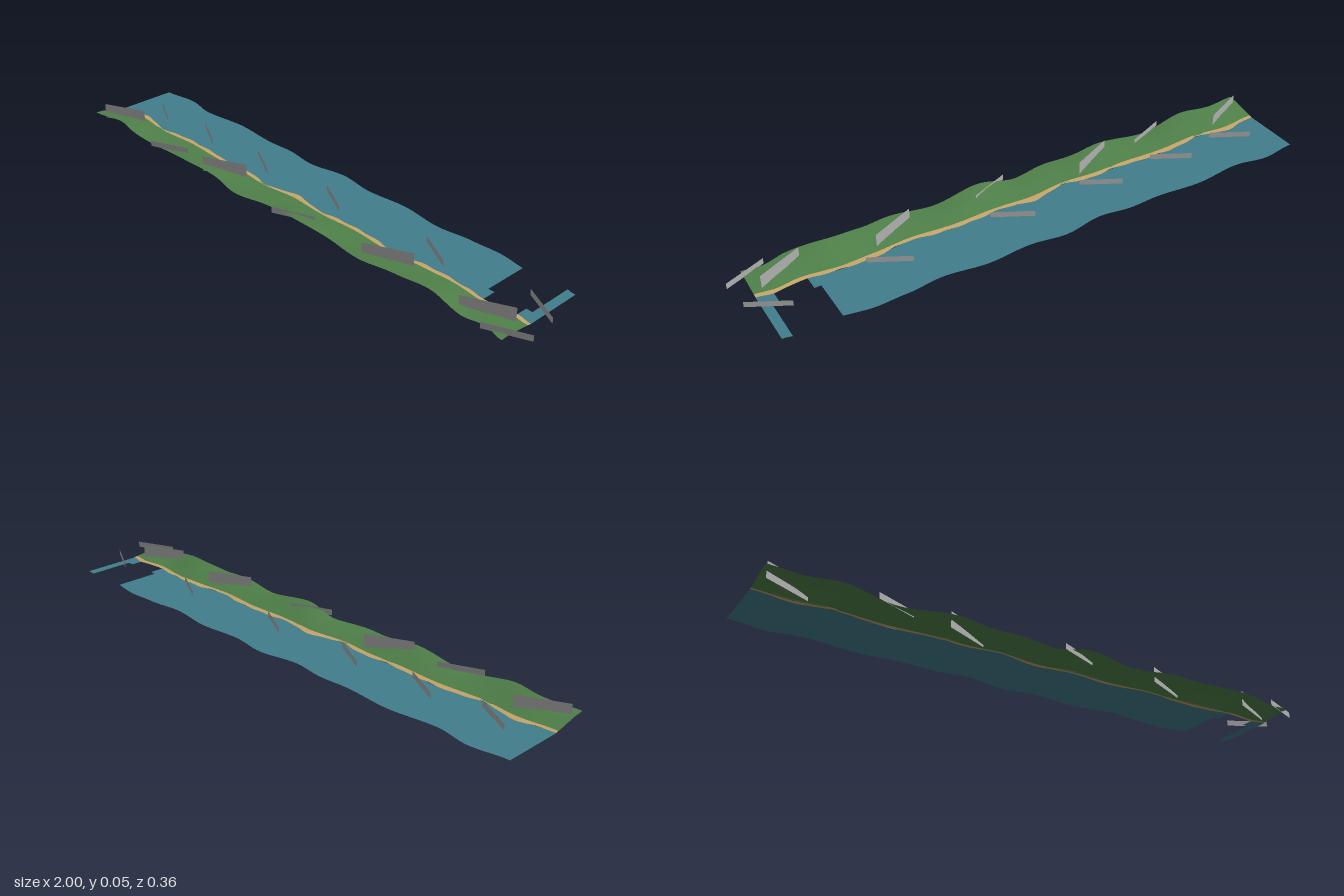
import * as THREE from 'three';

const flat = (name, color) => {
  const m = new THREE.MeshStandardMaterial({ color, side: THREE.DoubleSide });
  m.name = name;
  return m;
};

// Smooth interpolation through [x, value] pairs
function interpolator(points) {
  return (x) => {
    let i = 0;
    while (i < points.length - 2 && x > points[i + 1][0]) i++;
    const [x0, a] = points[i], [x1, b] = points[i + 1];
    const t = THREE.MathUtils.smoothstep(x, x0, x1);
    return a + (b - a) * t;
  };
}

// Sideways meander of the whole coast
const meander = interpolator([
  [-1, 0.007], [-0.87, -0.01], [-0.75, 0.009], [-0.57, -0.009], [-0.4, 0.003],
  [-0.3, -0.002], [-0.18, 0.012], [-0.03, -0.012], [0.1, 0.004], [0.25, -0.008],
  [0.41, 0.01], [0.54, -0.004], [0.64, -0.009], [0.79, 0.01], [0.87, -0.007], [0.935, 0.007],
]);

// Height of the outer land edge
const ridge = interpolator([
  [-1, 0.026], [-0.8, 0.034], [-0.6, 0.014], [-0.38, 0.03], [-0.2, 0.014], [-0.05, 0.016],
  [0.1, 0.034], [0.3, 0.017], [0.5, 0.028], [0.67, 0.037], [0.84, 0.02], [0.935, 0.014],
]);

// Small irregularity of the beach edge
const ripple = (x) => 0.003 * Math.sin(x * 31) + 0.002 * Math.sin(x * 67 + 1);

// Open sheet between x0 and x1; section(x) lists [z, y] from back to front
function ribbon(name, material, x0, x1, section) {
  const steps = Math.max(2, Math.ceil((x1 - x0) / 0.0125));
  const pos = [], index = [];
  let n = 0;
  for (let i = 0; i <= steps; i++) {
    const x = x0 + ((x1 - x0) * i) / steps;
    const row = section(x);
    n = row.length;
    for (const [z, y] of row) pos.push(x, y, z);
  }
  for (let i = 0; i < steps; i++) {
    for (let j = 0; j < n - 1; j++) {
      const a = i * n + j, b = a + n;
      index.push(a, a + 1, b, b, a + 1, b + 1);
    }
  }
  const g = new THREE.BufferGeometry();
  g.setAttribute('position', new THREE.Float32BufferAttribute(pos, 3));
  g.setIndex(index);
  g.computeVertexNormals();
  const mesh = new THREE.Mesh(g, material);
  mesh.name = name;
  return mesh;
}

export function createModel() {
  const group = new THREE.Group();
  group.name = 'coastStrip';
  const water = flat('water', 0x417d8c);
  const sand = flat('sand', 0xc6a568);
  const grass = flat('grass', 0x4f8049);
  const grey = flat('panelGrey', 0xb0b0b0);

  // Water, with a stepped notch near the right end
  const back = (x) => -0.169 + meander(x);
  const notch = () => -0.002;
  for (const [x0, x1, far] of [
    [-1, 0.745, back], [0.745, 0.768, notch], [0.882, 0.905, notch], [0.905, 0.937, back],
  ]) {
    group.add(ribbon('water', water, x0, x1, (x) => [[far(x), 0.003], [0.046 + meander(x), 0.003]]));
  }

  // Beach
  group.add(ribbon('beach', sand, -1, 0.937, (x) => {
    const w = meander(x);
    return [[0.042 + w + ripple(x), 0.004], [0.058 + w * 0.6, 0.006]];
  }));

  // Grassy land rising towards its outer edge
  group.add(ribbon('land', grass, -1, 0.937, (x) => {
    const w = meander(x), h = ridge(x);
    return [
      [0.053 + w * 0.6, 0.005], [0.078 + w, 0.006 + h * 0.15], [0.108 + w, 0.007 + h * 0.4],
      [0.14 + w, 0.004 + h * 0.75], [0.171 + w, h],
    ];
  }));

  // Upright panels: [centre x], each running dx along and dz across
  const addPanels = (name, centres, dx, dz, z, y0, y1) => {
    for (const x of centres) {
      const panel = new THREE.Mesh(new THREE.PlaneGeometry(Math.hypot(dx, dz), y1 - y0), grey);
      panel.name = name;
      panel.position.set(x, (y0 + y1) / 2, z);
      panel.rotation.y = -Math.atan2(dz, dx);
      group.add(panel);
    }
  };
  addPanels('tallLandPanel', [-0.91, -0.325, 0.445, 0.83], 0.152, -0.07, 0.11, 0, 0.055);
  addPanels('lowLandPanel', [-0.585, 0.065, 0.93], 0.14, -0.058, 0.149, 0.013, 0.034);
  addPanels('waterPanel', [-0.835, -0.57, -0.275, 0.075, 0.52, 0.92], 0.13, 0.07, -0.02, 0.013, 0.033);

  return group;
}
